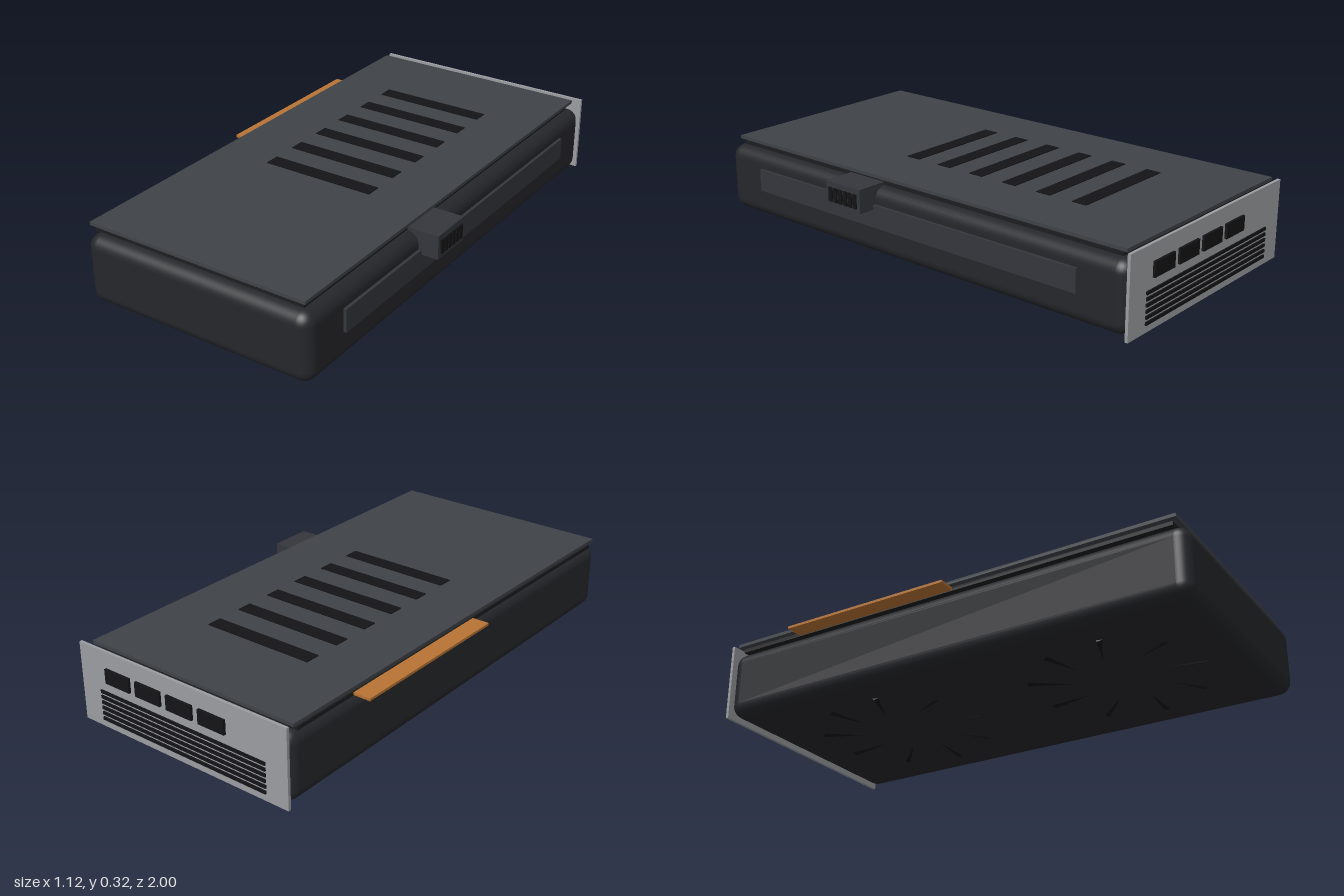
import * as THREE from 'three';
import { RoundedBoxGeometry } from 'three/addons/geometries/RoundedBoxGeometry.js';

const mat = (color) => new THREE.MeshStandardMaterial({ color });
const shroudMat = mat(0x26272b);
const plateMat = mat(0x3f4348);
const panelMat = mat(0x34363c);
const darkMat = mat(0x141416);
const boardMat = mat(0x1b1d1f);
const steelMat = mat(0x9a9da1);
const goldMat = mat(0xb87333);

// Box given by its extents along each axis
function block(parent, name, material, [x0, x1], [y0, y1], [z0, z1], radius = 0) {
  const size = [x1 - x0, y1 - y0, z1 - z0];
  const geometry = radius
    ? new RoundedBoxGeometry(...size, 5, radius)
    : new THREE.BoxGeometry(...size);
  const mesh = new THREE.Mesh(geometry, material);
  mesh.name = name;
  mesh.position.set((x0 + x1) / 2, (y0 + y1) / 2, (z0 + z1) / 2);
  parent.add(mesh);
  return mesh;
}

// Fan sunk in the shroud; only the pitched blade tips break the underside
function makeFan(z) {
  const fan = new THREE.Group();
  fan.name = 'fan';
  fan.position.set(-0.01, 0.035, z);
  const hub = new THREE.Mesh(new THREE.CylinderGeometry(0.1, 0.1, 0.04, 32), darkMat);
  hub.name = 'fanHub';
  fan.add(hub);
  const bladeGeometry = new THREE.BoxGeometry(0.26, 0.008, 0.09);
  bladeGeometry.rotateX(0.35);
  bladeGeometry.rotateZ(-0.045);
  bladeGeometry.translate(0.21, -0.0095, 0);
  for (let i = 0; i < 9; i++) {
    const blade = new THREE.Mesh(bladeGeometry, darkMat);
    blade.name = 'fanBlade';
    blade.rotation.y = (i / 9) * Math.PI * 2;
    fan.add(blade);
  }
  return fan;
}

export function createModel() {
  const card = new THREE.Group();
  card.name = 'graphicsCard';

  // Rounded cooler body and side trim
  block(card, 'shroud', shroudMat, [-0.496, 0.472], [0.008, 0.28], [-0.98, 1], 0.05);
  block(card, 'sidePanel', panelMat, [0.46, 0.484], [0.125, 0.215], [-0.785, 0.8]);
  for (const z of [0.5, -0.46]) card.add(makeFan(z));

  // Circuit board with edge connector
  block(card, 'circuitBoard', boardMat, [-0.49, 0.424], [0.278, 0.293], [-0.93, 0.95]);
  block(card, 'edgeConnector', goldMat, [-0.56, -0.45], [0.281, 0.291], [-0.645, 0.07]);

  // Backplate with six vent slots
  block(card, 'backplate', plateMat, [-0.496, 0.44], [0.304, 0.317], [-0.955, 0.965]);
  for (let i = 0; i < 6; i++) {
    const z = -0.585 + i * 0.16;
    block(card, 'ventSlot', darkMat, [-0.265, 0.203], [0.31, 0.32], [z - 0.031, z + 0.031]);
  }

  // Power socket with a row of contacts
  block(card, 'powerSocket', panelMat, [0.41, 0.552], [0.197, 0.291], [0.155, 0.332]);
  for (let i = 0; i < 6; i++) {
    const z = 0.18 + i * 0.0255;
    block(card, 'powerContact', darkMat, [0.54, 0.558], [0.214, 0.27], [z - 0.009, z + 0.009]);
  }

  // Rear bracket with display ports and exhaust slits
  block(card, 'bracket', steelMat, [-0.496, 0.472], [0.005, 0.316], [-0.99, -0.978]);
  for (const x of [0.28, 0.13, -0.02, -0.17]) {
    block(card, 'displayPort', darkMat, [x - 0.06, x + 0.06], [0.195, 0.252], [-1, -0.985]);
  }
  for (let i = 0; i < 6; i++) {
    const y = 0.04 + i * 0.022;
    block(card, 'exhaustSlit', darkMat, [-0.402, 0.375], [y - 0.006, y + 0.006], [-0.996, -0.985]);
  }
  return card;
}
